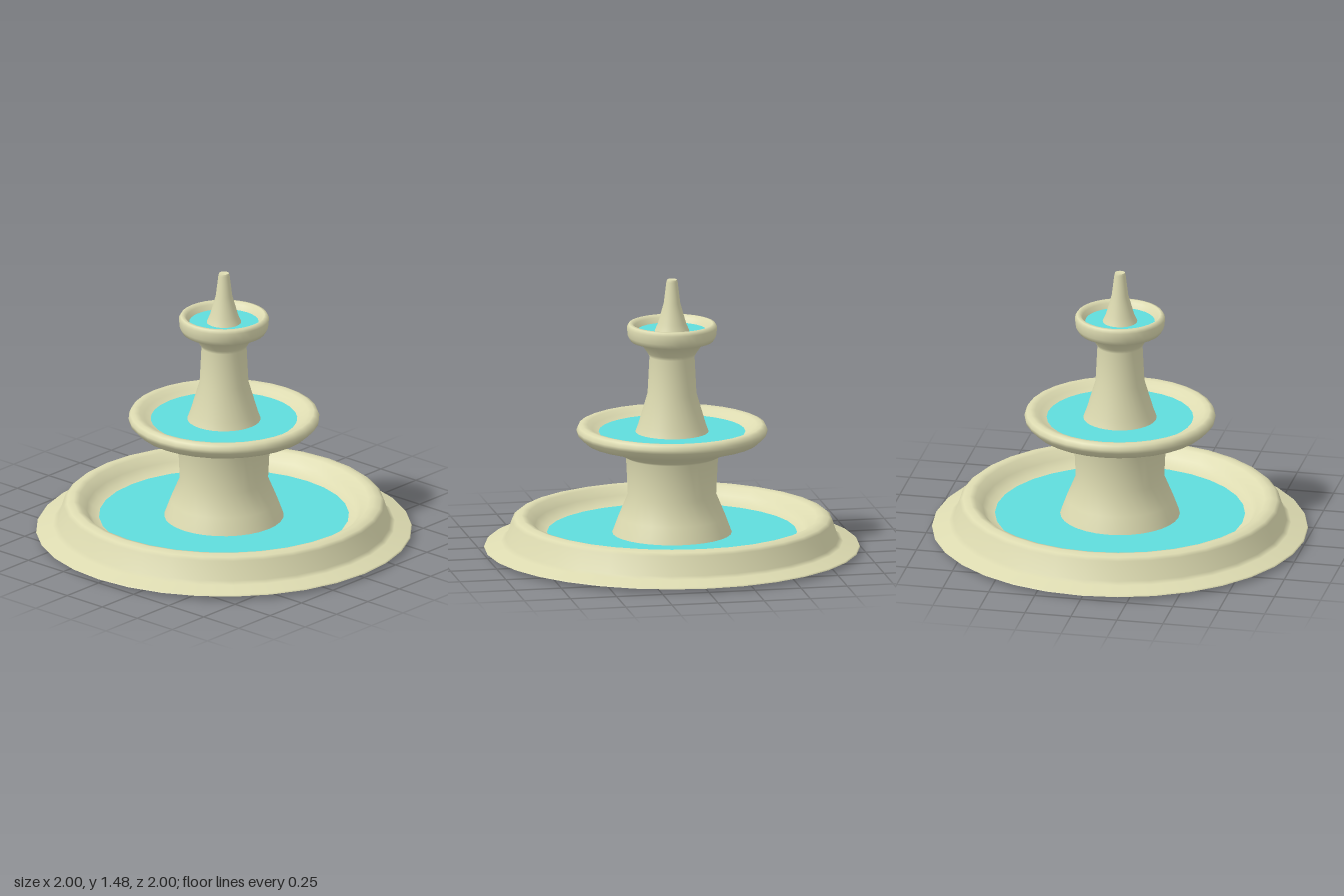
import * as THREE from 'three';

const SIDES = 32;

export function createModel() {
  const fountain = new THREE.Group();
  fountain.name = 'fountain';
  const stone = new THREE.MeshStandardMaterial({ color: 0xdcdab0 });
  const water = new THREE.MeshStandardMaterial({ color: 0x5fdcdc });

  // Turns a profile of [radius, height] pairs, ordered from the bottom outside to the top inside
  const turn = (name, material, profile) => {
    const points = profile.map(([r, y]) => new THREE.Vector2(r, y));
    const mesh = new THREE.Mesh(new THREE.LatheGeometry(points, SIDES), material);
    mesh.name = name;
    fountain.add(mesh);
  };

  // Slightly raised underside
  turn('underside', stone, [[0, 0], [0.32, 0.005], [1, 0.02]]);

  // Ground basin: wide flange, sloped wall, rounded lip, inner slope to the water
  turn('groundBasin', stone, [
    [1, 0.02], [0.995, 0.028], [0.91, 0.05], [0.885, 0.065], [0.853, 0.165],
    [0.835, 0.18], [0.8, 0.19], [0.77, 0.182], [0.73, 0.14], [0.705, 0.112], [0.665, 0.1],
  ]);

  // Lower pedestal flaring into the middle bowl
  turn('lowerPedestalAndBowl', stone, [
    [0.318, 0.1], [0.285, 0.19], [0.235, 0.31], [0.245, 0.515], [0.27, 0.53],
    [0.37, 0.58], [0.465, 0.6], [0.505, 0.64], [0.508, 0.66], [0.498, 0.682],
    [0.478, 0.69], [0.45, 0.685], [0.425, 0.665], [0.39, 0.65],
  ]);

  // Upper column flaring into the top bowl
  turn('upperColumnAndBowl', stone, [
    [0.195, 0.65], [0.18, 0.69], [0.13, 0.86], [0.12, 1.06], [0.13, 1.08],
    [0.165, 1.13], [0.222, 1.148], [0.236, 1.175], [0.24, 1.22], [0.23, 1.237],
    [0.215, 1.24], [0.2, 1.225], [0.185, 1.2],
  ]);

  // Spout and its flat tip
  turn('spout', stone, [[0.092, 1.2], [0.075, 1.24], [0.044, 1.35], [0.03, 1.465], [0.026, 1.477]]);
  turn('spoutTip', stone, [[0.026, 1.477], [0, 1.475]]);

  // Water rings
  const pools = [['ground', 0.665, 0.318, 0.1], ['middle', 0.39, 0.195, 0.65], ['top', 0.185, 0.092, 1.2]];
  for (const [name, outer, inner, y] of pools) {
    turn(name + 'Water', water, [[outer, y], [inner, y]]);
  }

  return fountain;
}
